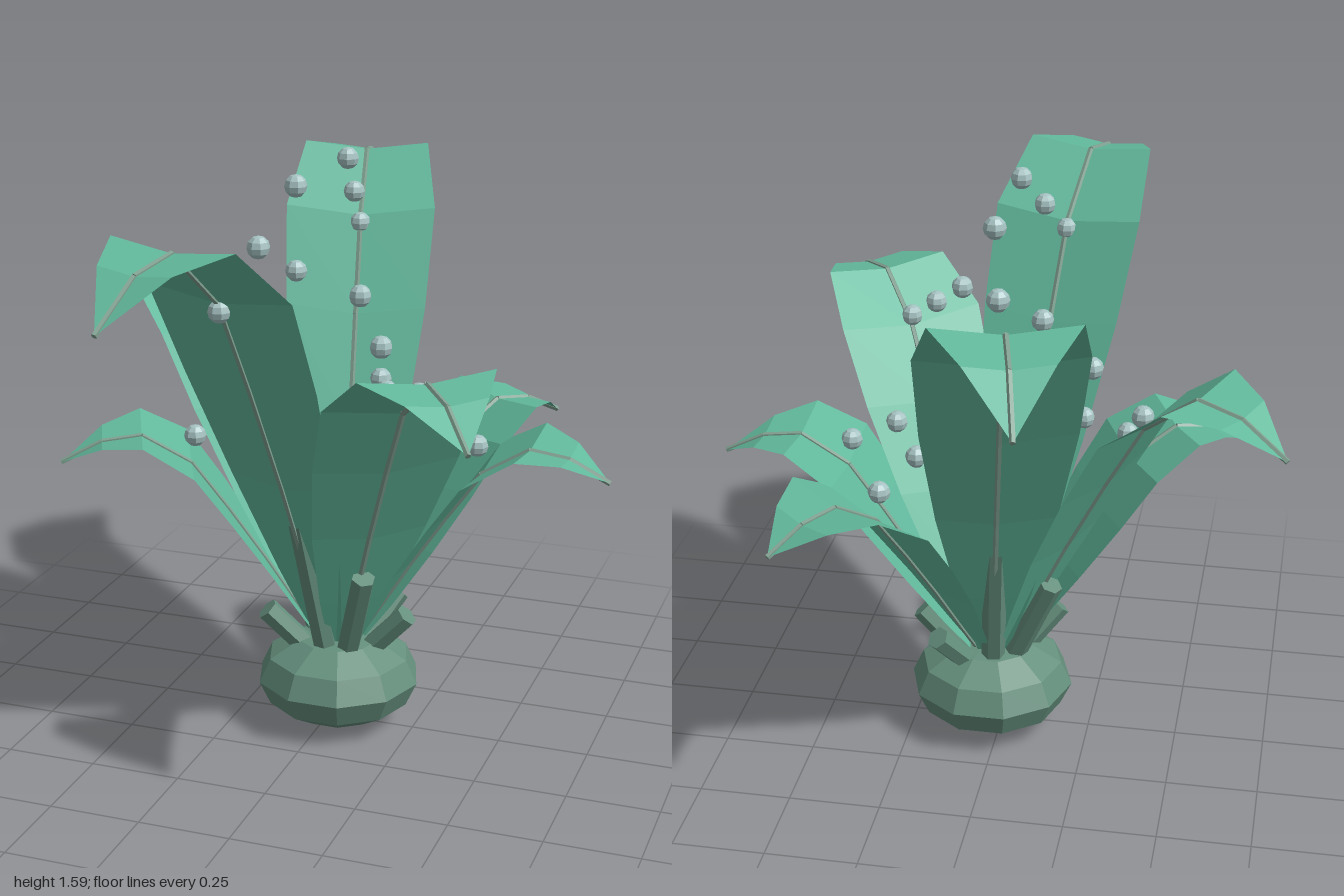
import * as THREE from 'three';

const flat = (name, color, side = THREE.FrontSide) => {
  const m = new THREE.MeshStandardMaterial({ color, flatShading: true, side });
  m.name = name;
  return m;
};

// Leaf midrib rows for the longest leaf: [reach, rise above the bulb, half width]
const ROWS = [
  [0.03, 0, 0.03], [0.15, 0.27, 0.1], [0.28, 0.57, 0.16], [0.42, 0.87, 0.2],
  [0.55, 1.13, 0.215], [0.73, 1.29, 0.18], [0.875, 1.265, 0.107], [1.026, 1.16, 0],
];

// Three leaf sizes, each with its stub height and its line of beads
const SIZES = [
  { reach: 0.73, rise: 0.51, stub: 0.34, bead: [0.135, 0.98], step: [0.127, -0.0625] },
  { reach: 0.87, rise: 0.75, stub: 0.5, bead: [0.164, 1.27], step: [0.156, -0.095] },
  { reach: 1, rise: 1, stub: 0.66, bead: [0.206, 1.56], step: [0.17, -0.125] },
];
const BASE_Y = 0.2;

function add(parent, name, geometry, material) {
  const mesh = new THREE.Mesh(geometry, material);
  mesh.name = name;
  parent.add(mesh);
  return mesh;
}

// Straight rod between two points
function rod(parent, name, a, b, radius, sides, material) {
  const dir = b.clone().sub(a);
  const mesh = add(parent, name, new THREE.CylinderGeometry(radius, radius, dir.length(), sides), material);
  mesh.position.copy(a).lerp(b, 0.5);
  mesh.quaternion.setFromUnitVectors(new THREE.Vector3(0, 1, 0), dir.normalize());
}

// Blade with a shallow fold along the midrib
function bladeGeometry(size) {
  const pos = [], index = [];
  ROWS.forEach(([r, y, w], i) => {
    for (const s of [-1, 0, 1]) {
      pos.push(r * size.reach, BASE_Y + y * size.rise + Math.abs(s) * w * 0.12, s * w);
    }
    if (i === 0) return;
    for (let j = 0; j < 2; j++) {
      const a = (i - 1) * 3 + j, b = i * 3 + j;
      index.push(a, a + 1, b, b, a + 1, b + 1);
    }
  });
  const g = new THREE.BufferGeometry();
  g.setAttribute('position', new THREE.Float32BufferAttribute(pos, 3));
  g.setIndex(index);
  const out = g.toNonIndexed();
  out.computeVertexNormals();
  return out;
}

export function createModel() {
  const model = new THREE.Group();
  model.name = 'plant';
  const leafMat = flat('leafGreen', 0x62b99c, THREE.DoubleSide);
  const bulbMat = flat('bulbGreen', 0x658f7d);
  const ribMat = flat('ribGrey', 0x7f9f90);
  const beadMat = flat('beadGrey', 0xa6c2c2);

  const plant = new THREE.Group();
  plant.name = 'rosette';
  plant.position.x = 0.03;
  model.add(plant);

  // Squashed faceted bulb
  const bulb = add(plant, 'bulb', new THREE.SphereGeometry(0.23, 10, 6), bulbMat);
  bulb.scale.y = 0.58;
  bulb.position.y = 0.134;

  const beadGeo = new THREE.SphereGeometry(0.03, 8, 6);
  for (let k = 0; k < 7; k++) {
    const size = SIZES[k % 3];
    const frond = new THREE.Group();
    frond.name = 'frond' + (k + 1);
    frond.rotation.y = -k * Math.PI * 2 / 7;
    plant.add(frond);

    add(frond, 'leafBlade', bladeGeometry(size), leafMat);

    // Midrib follows the fold
    const pts = ROWS.map(([r, y]) => new THREE.Vector3(r * size.reach, BASE_Y + y * size.rise, 0));
    for (let i = 1; i < pts.length; i++) rod(frond, 'midrib', pts[i - 1], pts[i], 0.008, 5, ribMat);

    // Thick stub at the foot of the leaf
    rod(frond, 'stub', new THREE.Vector3(0.05, 0.18, 0), new THREE.Vector3(0.2, size.stub, 0), 0.033, 6, bulbMat);

    // Three floating beads
    for (let i = 0; i < 3; i++) {
      const bead = add(frond, 'bead', beadGeo, beadMat);
      bead.position.set(size.bead[0] + i * size.step[0], size.bead[1] + i * size.step[1], 0);
    }
  }
  return model;
}
